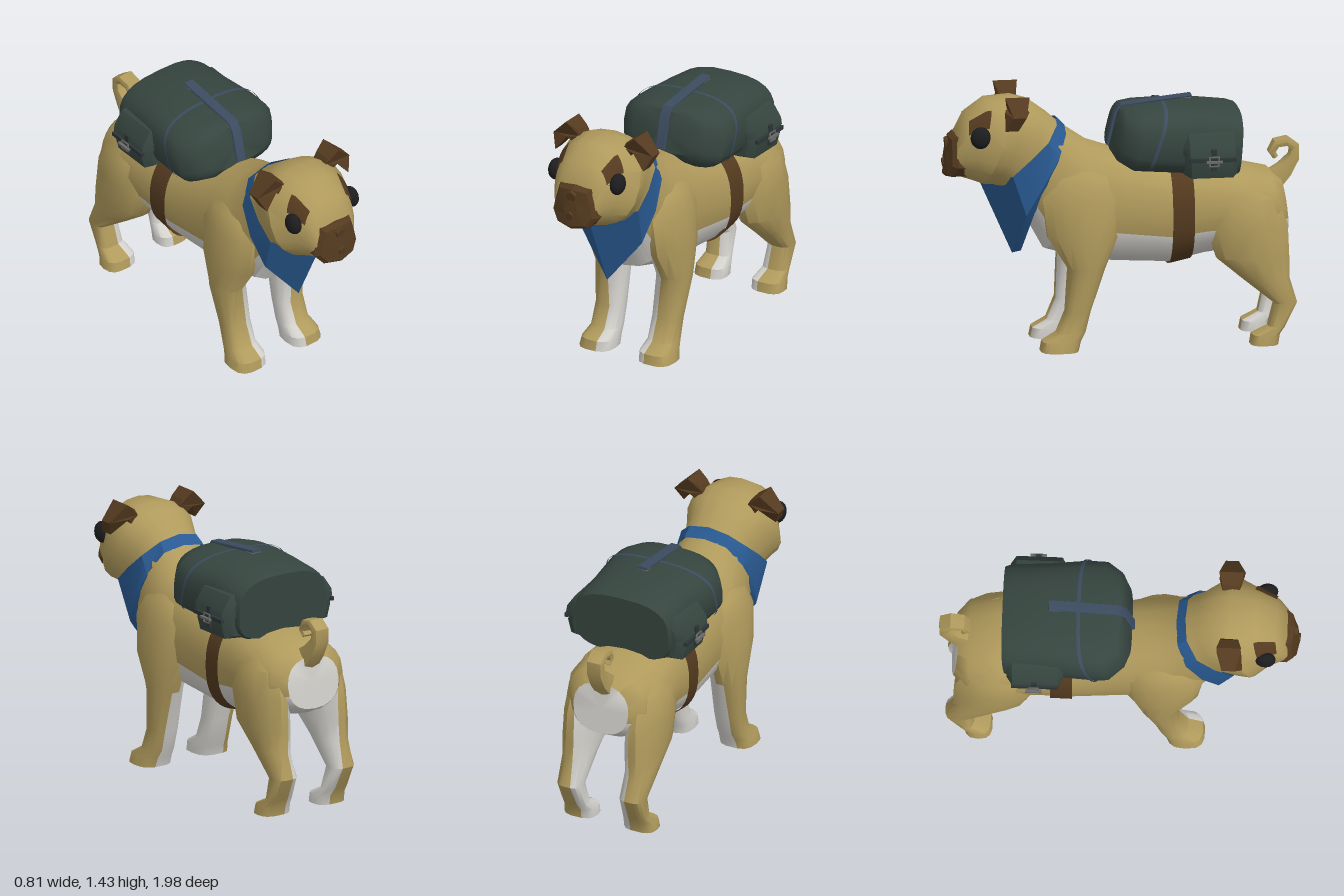
import * as THREE from 'three';
import { toCreasedNormals } from 'three/addons/utils/BufferGeometryUtils.js';

const mat = (name, color, side = THREE.FrontSide) => {
  const m = new THREE.MeshStandardMaterial({ color, side });
  m.name = name;
  return m;
};
const TAN = mat('tan fur', 0xb09a5c), WHITE = mat('white fur', 0xd2d0cb);
const BROWN = mat('brown', 0x543a1f, THREE.DoubleSide), BLACK = mat('eye black', 0x1d1d1f);
const BLUE = mat('bandana blue', 0x295a92, THREE.DoubleSide), GREEN = mat('pack green', 0x36453f);
const SLATE = mat('strap slate', 0x3c4b60, THREE.DoubleSide), METAL = mat('buckle metal', 0x6a6b68);
const DARK = mat('pocket strap dark', 0x2c3536);

const pow = (v, e) => Math.sign(v) * Math.abs(v) ** e;

// A section is [topZ, topY, bottomZ, bottomY, halfWidth]; this finds a point on its outline.
// e = [upper, lower] squareness: 1 is an ellipse, smaller is boxier.
function outlinePoint([tz, ty, bz, by, w], a, e, off = 0) {
  const hz = (tz - bz) / 2, hy = (ty - by) / 2, k = 1 + off / Math.hypot(hz, hy);
  const q = e[Math.cos(a) >= 0 ? 0 : 1];
  const c = pow(Math.cos(a), q) * k, s = pow(Math.sin(a), q);
  return [s * (w + off), (ty + by) / 2 + hy * c, (tz + bz) / 2 + hz * c];
}
const outline = (sec, n, e) =>
  Array.from({ length: n }, (_, j) => outlinePoint(sec, j / n * Math.PI * 2, e));

// Skin a row of closed rings and cap both ends; pick(i, j) chooses the material of each face.
function loft(name, rings, mats, pick = () => 0, crease = 0.7) {
  const n = rings[0].length, last = rings.length - 1, pos = rings.flat(2);
  const faces = mats.map(() => []);
  for (let i = 0; i < last; i++) for (let j = 0; j < n; j++) {
    const k = (j + 1) % n, a = i * n + j, b = i * n + k;
    faces[pick(i, j)].push(a, a + n, b, b, a + n, b + n);
  }
  for (const i of [0, last]) {
    const c = pos.length / 3;
    for (let d = 0; d < 3; d++) pos.push(rings[i].reduce((s, p) => s + p[d], 0) / n);
    for (let j = 0; j < n; j++) {
      const a = i * n + j, b = i * n + (j + 1) % n;
      faces[pick(i ? last : -1, j)].push(c, ...(i ? [b, a] : [a, b]));
    }
  }
  const g = new THREE.BufferGeometry();
  g.setAttribute('position', new THREE.Float32BufferAttribute(pos, 3));
  g.setIndex(faces.flat());
  let start = 0;
  faces.forEach((f, m) => { g.addGroup(start, f.length, m); start += f.length; });
  return named(name, new THREE.Mesh(toCreasedNormals(g, crease), mats));
}
const named = (name, mesh) => { mesh.name = name; return mesh; };

// Open sheet from a grid of points
function sheet(name, rows, material, crease = 0.5) {
  const n = rows[0].length, idx = [];
  for (let i = 0; i < rows.length - 1; i++) for (let j = 0; j < n - 1; j++) {
    const a = i * n + j;
    idx.push(a, a + n, a + 1, a + 1, a + n, a + n + 1);
  }
  const g = new THREE.BufferGeometry();
  g.setAttribute('position', new THREE.Float32BufferAttribute(rows.flat(2), 3));
  g.setIndex(idx);
  return named(name, new THREE.Mesh(toCreasedNormals(g, crease), material));
}

// Thin patch that hugs a lofted surface between section numbers u0..u1 and angles a0..a1 (degrees)
function patch(name, secs, e, [u0, u1], [a0, a1], off, material) {
  const nu = 5, na = Math.max(6, Math.round(Math.abs(a1 - a0) / 9));
  const rows = Array.from({ length: nu + 1 }, (_, i) => {
    const u = u0 + (u1 - u0) * i / nu, k = Math.min(Math.floor(u), secs.length - 2);
    const sec = secs[k].map((v, d) => v + (secs[k + 1][d] - v) * (u - k));
    return Array.from({ length: na + 1 }, (_, j) =>
      outlinePoint(sec, (a0 + (a1 - a0) * j / na) * Math.PI / 180, e, off));
  });
  return sheet(name, rows, material);
}

// Band following a path of [z, y, halfThickness, halfWidth]
function band(name, path, material, e) {
  const rings = path.map(([z, y, h, w], i) => {
    const p = path[Math.max(i - 1, 0)], q = path[Math.min(i + 1, path.length - 1)];
    const l = Math.hypot(q[0] - p[0], q[1] - p[1]);
    const uy = (q[0] - p[0]) / l * h, uz = -(q[1] - p[1]) / l * h;
    return outline([z + uz, y + uy, z - uz, y - uy, w], 8, [e, e]);
  });
  return loft(name, rings, [material]);
}

const BODY = [
  [-.885, .89, -.92, .60, .17], [-.82, .945, -.85, .56, .245], [-.64, .985, -.66, .52, .28],
  [-.45, 1.0, -.45, .49, .26], [-.25, 1.01, -.25, .445, .25], [0, 1.07, .05, .46, .24],
  [.07, 1.10, .2, .475, .25], [.19, 1.14, .43, .54, .25], [.34, 1.24, .54, .74, .21],
  [.42, 1.31, .62, .86, .21], [.51, 1.375, .72, .915, .255], [.60, 1.40, .78, .92, .268],
  [.75, 1.395, .84, .94, .20], [.86, 1.32, .90, .96, .165], [.92, 1.21, .93, .97, .13],
];
const PACK = [
  [.012, 1.315, .068, 1.09, .20], [-.01, 1.33, .04, 1.04, .26], [-.09, 1.337, -.04, .99, .325],
  [-.225, 1.34, -.10, .985, .328], [-.42, 1.34, -.38, .96, .305], [-.60, 1.32, -.585, .94, .305],
  [-.645, 1.305, -.62, .95, .29],
].reverse();
const BODY_E = [.85, .85], PACK_E = [.72, .55];

// Leg levels: [y, frontZ, backZ, innerX, outerX]
const FRONT_LEG = [
  [0, .475, .265, .09, .295], [.055, .465, .25, .09, .285], [.10, .385, .225, .10, .268],
  [.22, .335, .195, .10, .267], [.46, .325, .115, .10, .297], [.64, .44, .04, .10, .302],
  [.85, .47, .02, .10, .285], [.97, .41, .07, .10, .25], [1.05, .33, .17, .10, .18],
];
const HIND_LEG = [
  [0, -.69, -.845, .09, .28], [.055, -.70, -.855, .09, .275], [.10, -.79, -.885, .11, .26],
  [.23, -.82, -.95, .12, .265], [.37, -.645, -.91, .11, .28], [.49, -.50, -.91, .09, .295],
  [.66, -.44, -.905, .08, .30], [.82, -.47, -.85, .08, .285], [.91, -.56, -.74, .10, .22],
];
// white(i, c, s): whether a face is white, from its level and the cosine and sine around the leg
function leg(name, levels, side, white) {
  const n = 14;
  const rings = levels.map(([y, zf, zb, xi, xo]) => Array.from({ length: n }, (_, j) => {
    const t = side * j / n * Math.PI * 2, e = y < .3 ? .7 : y < .6 ? .95 : 1.1;
    return [side * ((xi + xo) / 2 + (xo - xi) / 2 * pow(Math.cos(t), e)), y,
      (zf + zb) / 2 + (zf - zb) / 2 * pow(Math.sin(t), e)];
  }));
  return loft(name, rings, [TAN, WHITE], (i, j) => {
    const t = side * (j + .5) / n * Math.PI * 2;
    return i < 0 || white(i, Math.cos(t), Math.sin(t)) ? 1 : 0;
  });
}

function createDog() {
  const dog = new THREE.Group();
  dog.name = 'dog';
  // Torso, neck and skull in one skin, with a white belly and rump patch
  dog.add(loft('body', BODY.map(s => outline(s, 20, BODY_E)), [TAN, WHITE], (i, j) => {
    const fromBelly = Math.abs(180 - (j + .5) * 18);
    return i < 0 || (i < 9 && fromBelly < (i < 6 ? 64 : 50)) ? 1 : 0;
  }));
  // Muzzle, curved back at the cheeks, with nose and lower lip
  const half = [[0, 1.205], [.10, 1.195], [.125, 1.12], [.145, 1.03], [.10, .975], [0, .96]];
  const face = [...half, ...half.slice(1, -1).reverse().map(([x, y]) => [-x, y])];
  dog.add(loft('muzzle', [[.86, 1], [.955, 1], [.975, .85], [.98, .3]].map(([z, k]) =>
    face.map(([x, y]) => [x * k, 1.08 + (y - 1.08) * k, z + (1.08 - y) * k * .13 - (x * k) ** 2 * 2])),
  [BROWN], () => 0, .3));
  for (const [name, y, z, r] of [['nose', 1.15, .955, .04], ['lip', 1.04, .97, .03]]) {
    const m = named(name, new THREE.Mesh(new THREE.CylinderGeometry(r * .8, r, .04, 6).toNonIndexed(), BROWN));
    m.geometry.computeVertexNormals();
    m.rotation.x = Math.PI / 2 + .13;
    m.position.set(0, y, z);
    dog.add(m);
  }
  // Folded ear profile
  const earShape = new THREE.Shape([[.14, 1.36], [.17, 1.30], [.215, 1.35], [.285, 1.26], [.322, 1.34],
    [.222, 1.435], [.16, 1.395]].map(p => new THREE.Vector2(...p)));
  for (const s of [1, -1]) {
    const side = s > 0 ? 'left' : 'right';
    dog.add(
      leg(side + 'FrontLeg', FRONT_LEG, s, (i, c, z) => c < -.3 || (i < 4 && z < 0 && c < .3)),
      leg(side + 'HindLeg', HIND_LEG, s, (i, c) => c < -.3));
    const eye = named(side + 'Eye', new THREE.Mesh(new THREE.SphereGeometry(1, 20, 14), BLACK));
    eye.scale.set(.039, .061, .057);
    eye.position.set(s * .2, 1.21, .805);
    dog.add(eye, patch(side + 'Brow', BODY, BODY_E, [11.85, 12.95], s > 0 ? [42, 70] : [-70, -42], .01, BROWN));
    const g = new THREE.ExtrudeGeometry(earShape, { depth: .16, bevelEnabled: false });
    const p = g.attributes.position;
    for (let i = 0; i < p.count; i++) { // narrow the base, outer edge and tip, tip forward
      const x = p.getX(i), tip = p.getY(i) < 1.3 && x > .2;
      const k = tip || x > .3 ? .45 : x < .18 ? .6 : .85;
      p.setZ(i, .605 + (p.getZ(i) - .08) * k + (tip ? .04 : 0));
    }
    g.computeVertexNormals();
    const ear = named(side + 'Ear', new THREE.Mesh(g, BROWN));
    ear.scale.x = s;
    dog.add(ear);
  }
  // Curled tail
  dog.add(band('tail', [[-.83, .86, .07, .06], [-.91, .93, .05, .052], [-.962, 1.0, .032, .05],
    [-.967, 1.06, .027, .05], [-.925, 1.09, .027, .05], [-.865, 1.08, .025, .048],
    [-.84, 1.035, .022, .045], [-.86, 1.005, .016, .04]], TAN, .5));
  dog.add(patch('girthStrap', BODY, BODY_E, [3.38, 3.98], [0, 360], .012, BROWN));
  // Bandana: upper and lower edge pairs from the nape to the front point
  const edges = [
    [[0, 1.275, .36], [0, 1.225, .31]], [[.12, 1.25, .37], [.13, 1.20, .32]],
    [[.205, 1.17, .43], [.21, 1.08, .37]], [[.226, 1.08, .53], [.228, .93, .46]],
    [[.222, .99, .63], [.195, .76, .55]], [[0, .91, .775], [0, .515, .60]],
  ];
  const mirrored = edges.slice(0, -1).reverse().map(pair => pair.map(([x, y, z]) => [-x, y, z]));
  const all = [...edges, ...mirrored];
  dog.add(sheet('bandana', [0, 1].map(k => all.map(pair => pair[k])).reverse(), BLUE));
  dog.add(sheet('bandanaHem', [all.map(p => p[1]),
    all.map(([, [x, y, z]]) => [x * .85, y + .01, z - (y < 1 ? .05 : -.02)])].reverse(), BLUE));
  dog.position.x = -.018;
  return dog;
}

function createPack() {
  const pack = new THREE.Group();
  pack.name = 'backpack';
  const add = (name, geo, material, x, y, z) => {
    const m = named(name, new THREE.Mesh(geo, material));
    m.position.set(x, y, z);
    pack.add(m);
  };
  pack.add(loft('packBody', PACK.map(s => outline(s, 24, PACK_E)), [GREEN]));
  pack.add(patch('lidPiping', PACK, PACK_E, [2.95, 3.07], [-125, 125], .007, SLATE));
  pack.add(band('lidStrap', [[-.39, 1.372, .008, .03], [-.2, 1.352, .008, .03], [0, 1.33, .008, .03],
    [.03, 1.29, .008, .03], [.075, 1.11, .008, .03]], SLATE, .3));
  add('lidBuckle', new THREE.TorusGeometry(.035, .007, 4, 4).rotateZ(Math.PI / 4)
    .rotateX(Math.PI / 2), METAL, 0, 1.36, -.36);
  // Bulging side pocket and its flap as x-y profiles, pinched at both ends
  const pocket = [[.24, 1.22], [.31, 1.2], [.355, 1.13], [.365, 1.05], [.345, .975], [.24, .965]];
  const flap = [[.24, 1.235], [.315, 1.215], [.366, 1.14], [.372, 1.1], [.345, 1.1], [.24, 1.1]];
  for (const s of [1, -1]) {
    for (const [name, profile, grow] of [['pocket', pocket, 0], ['pocketFlap', flap, .01]]) {
      const side = profile.map(([x, y]) => [s * x, y]);
      if (s < 0) side.reverse();
      pack.add(loft(name, [[-.60 - grow, .88], [-.57 - grow, 1], [-.34 + grow, 1], [-.31 + grow, .88]]
        .map(([z, k]) => side.map(([x, y]) => [x * k, 1.09 + (y - 1.09) * k, z])), [GREEN], () => 0, .6));
    }
    add('pocketBelt', new THREE.BoxGeometry(.02, .022, .26), DARK, s * .37, 1.08, -.455);
    add('pocketStrap', new THREE.BoxGeometry(.016, .12, .03), DARK, s * .372, 1.08, -.46);
    add('pocketBuckle', new THREE.TorusGeometry(.036, .007, 4, 4).rotateZ(Math.PI / 4)
      .rotateY(Math.PI / 2), METAL, s * .388, 1.075, -.46);
    add('buckleTongue', new THREE.BoxGeometry(.018, .012, .09), METAL, s * .396, 1.075, -.46);
  }
  pack.position.x = -.004;
  return pack;
}

export function createModel() {
  const model = new THREE.Group();
  model.name = 'dogWithBackpack';
  model.add(createDog(), createPack());
  return model;
}
